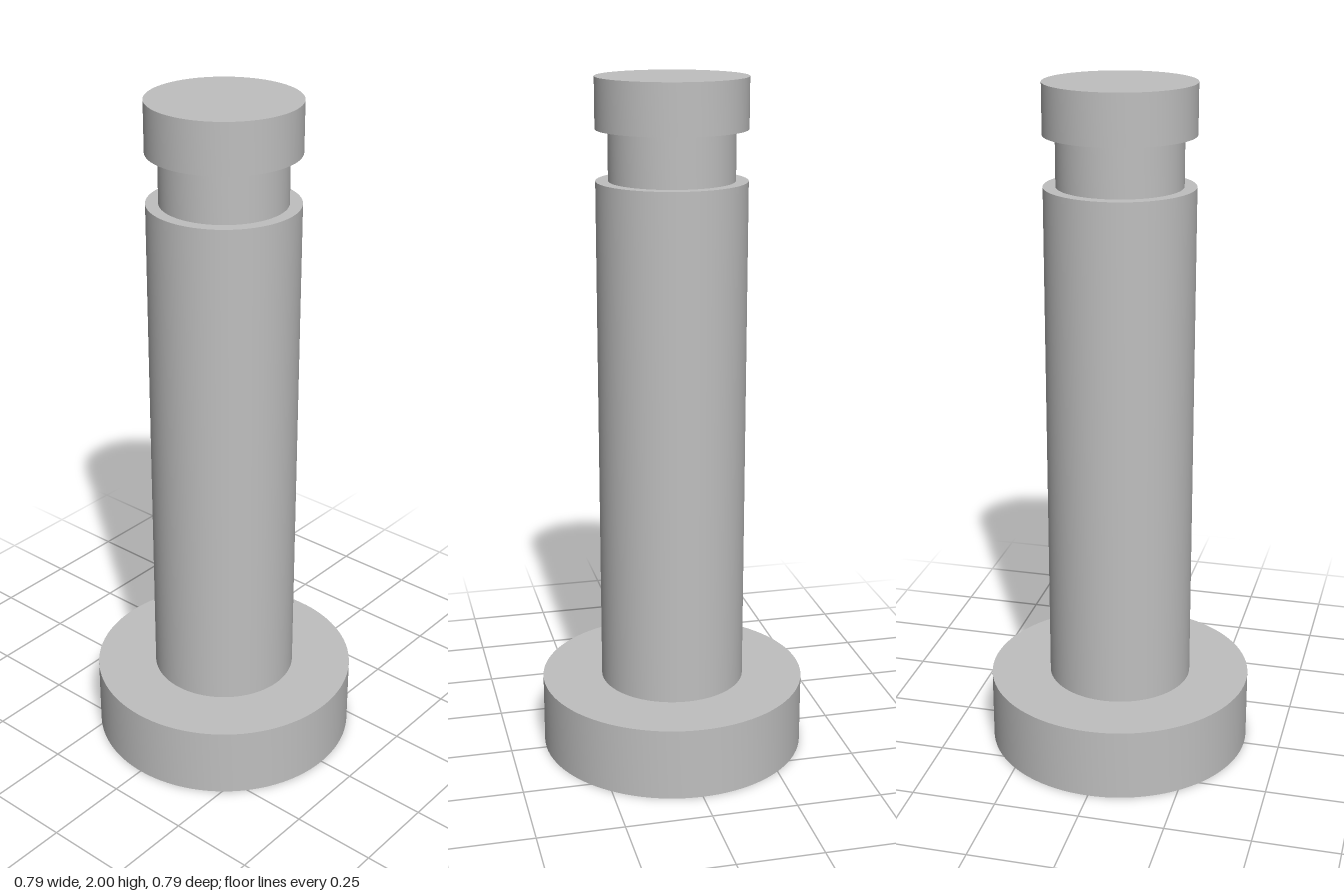
import * as THREE from 'three';
import { toCreasedNormals } from 'three/addons/utils/BufferGeometryUtils.js';

// Key dimensions of the grooved headed pin
const HEAD_R = 0.393, SHAFT_R = 0.214, GROOVE_R = 0.1786;
const HEAD_TOP = 0.214, SHAFT_TOP = 1.714, GROOVE_TOP = 1.857, TOP = 2;

export function createModel() {
  const model = new THREE.Group();
  model.name = 'headedPin';

  const steel = new THREE.MeshStandardMaterial({ color: 0xbfbfbf });
  steel.name = 'steel grey';

  // Turn a profile, listed bottom to top, into a sharp-edged round part
  const turn = (name, profile) => {
    const points = profile.map(([r, y]) => new THREE.Vector2(r, y));
    const geometry = toCreasedNormals(new THREE.LatheGeometry(points, 96), Math.PI / 6);
    const mesh = new THREE.Mesh(geometry, steel);
    mesh.name = name;
    model.add(mesh);
  };

  // Wide head with its underside and shoulder
  turn('head', [[0, 0], [HEAD_R, 0], [HEAD_R, HEAD_TOP], [SHAFT_R, HEAD_TOP]]);
  // Long shaft, ending in the lower groove wall
  turn('shaft', [[SHAFT_R, HEAD_TOP], [SHAFT_R, SHAFT_TOP], [GROOVE_R, SHAFT_TOP]]);
  // Retaining groove
  turn('groove', [[GROOVE_R, SHAFT_TOP], [GROOVE_R, GROOVE_TOP]]);
  // End collar with the upper groove wall and flat top
  turn('endCollar', [[GROOVE_R, GROOVE_TOP], [SHAFT_R, GROOVE_TOP], [SHAFT_R, TOP], [0, TOP]]);

  return model;
}
